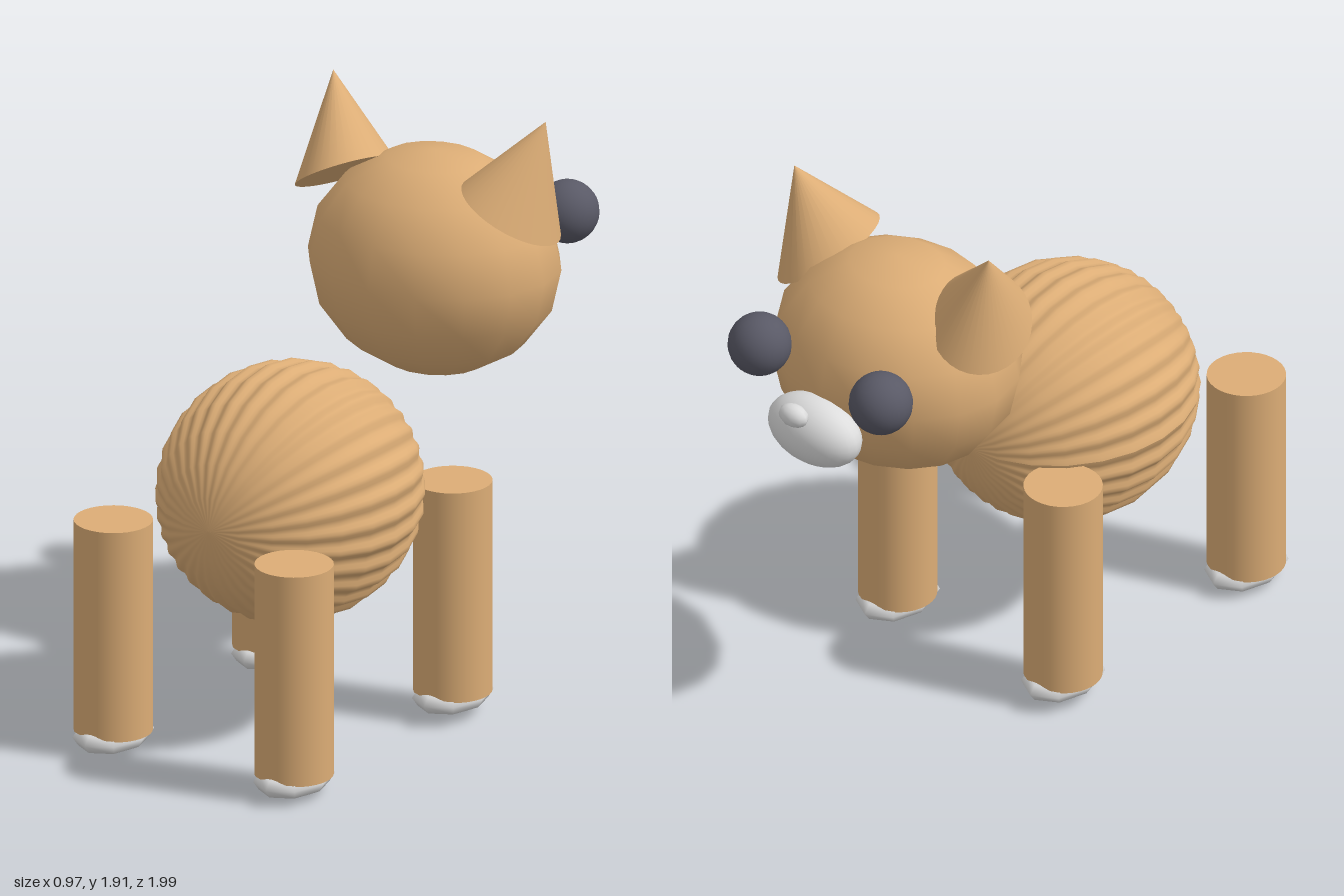
import * as THREE from 'three';

export function createModel() {
  const model = new THREE.Group();
  const fur = new THREE.MeshStandardMaterial({ color: 0xdcad76 });
  const pale = new THREE.MeshStandardMaterial({ color: 0xdcdcdc });
  const dark = new THREE.MeshStandardMaterial({ color: 0x595966 });
  fur.name = 'tanFur';
  pale.name = 'paleGrey';
  dark.name = 'darkSlate';

  function add(name, geometry, material, x, y, z) {
    const mesh = new THREE.Mesh(geometry, material);
    mesh.name = name;
    mesh.position.set(x, y, z);
    model.add(mesh);
    return mesh;
  }
  const ellipsoid = (rx, ry, rz, w, h) => new THREE.SphereGeometry(1, w, h).scale(rx, ry, rz);

  // Body: fluted ellipsoid with its poles at the front and back
  const body = new THREE.SphereGeometry(1, 192, 12);
  const p = body.attributes.position;
  for (let i = 0; i < p.count; i++) {
    const angle = Math.atan2(p.getZ(i), p.getX(i));
    const r = 0.418 + 0.008 * Math.cos(32 * angle);
    p.setXYZ(i, p.getX(i) * r, p.getY(i) * 0.46, p.getZ(i) * r);
  }
  body.rotateX(Math.PI / 2);
  body.computeVertexNormals();
  add('body', body, fur, 0, 0.815, 0.35);

  // Head and face
  add('head', ellipsoid(0.43, 0.375, 0.375, 16, 8), fur, 0, 1.365, -0.46);
  add('muzzle', ellipsoid(0.18, 0.115, 0.107, 24, 16), pale, 0, 1.265, -0.858);
  add('nose', ellipsoid(0.056, 0.038, 0.038, 10, 8), pale, 0, 1.37, -0.962);

  for (const s of [-1, 1]) {
    const side = s > 0 ? 'left' : 'right';
    add(side + 'Eye', ellipsoid(0.104, 0.104, 0.104, 24, 16), dark, s * 0.26, 1.468, -0.833);

    // Ear: cone leaning outwards over a slanted oval base
    const u = new THREE.Vector3(0.147, -s * 0.085, 0);
    const axis = new THREE.Vector3(s * 0.09, 0.31, -0.065);
    const v = new THREE.Vector3(0, 0.047, 0.185);
    const ear = new THREE.ConeGeometry(1, 1, 32).translate(0, 0.5, 0);
    ear.applyMatrix4(new THREE.Matrix4().makeBasis(u, axis, v));
    add(side + 'Ear', ear, fur, s * 0.327, 1.605, -0.422);

    // Legs and paws: the pair at -z stands slightly higher
    for (const [end, z, lift] of [['hind', 0.835, 0], ['fore', -0.055, 0.015]]) {
      add(side + end + 'Leg', new THREE.CylinderGeometry(0.128, 0.128, 0.72, 32),
        fur, s * 0.355, 0.43 + lift, z);
      add(side + end + 'Paw', ellipsoid(0.115, 0.055, 0.16, 8, 6),
        pale, s * 0.355, 0.057 + lift, z);
    }
  }
  return model;
}
